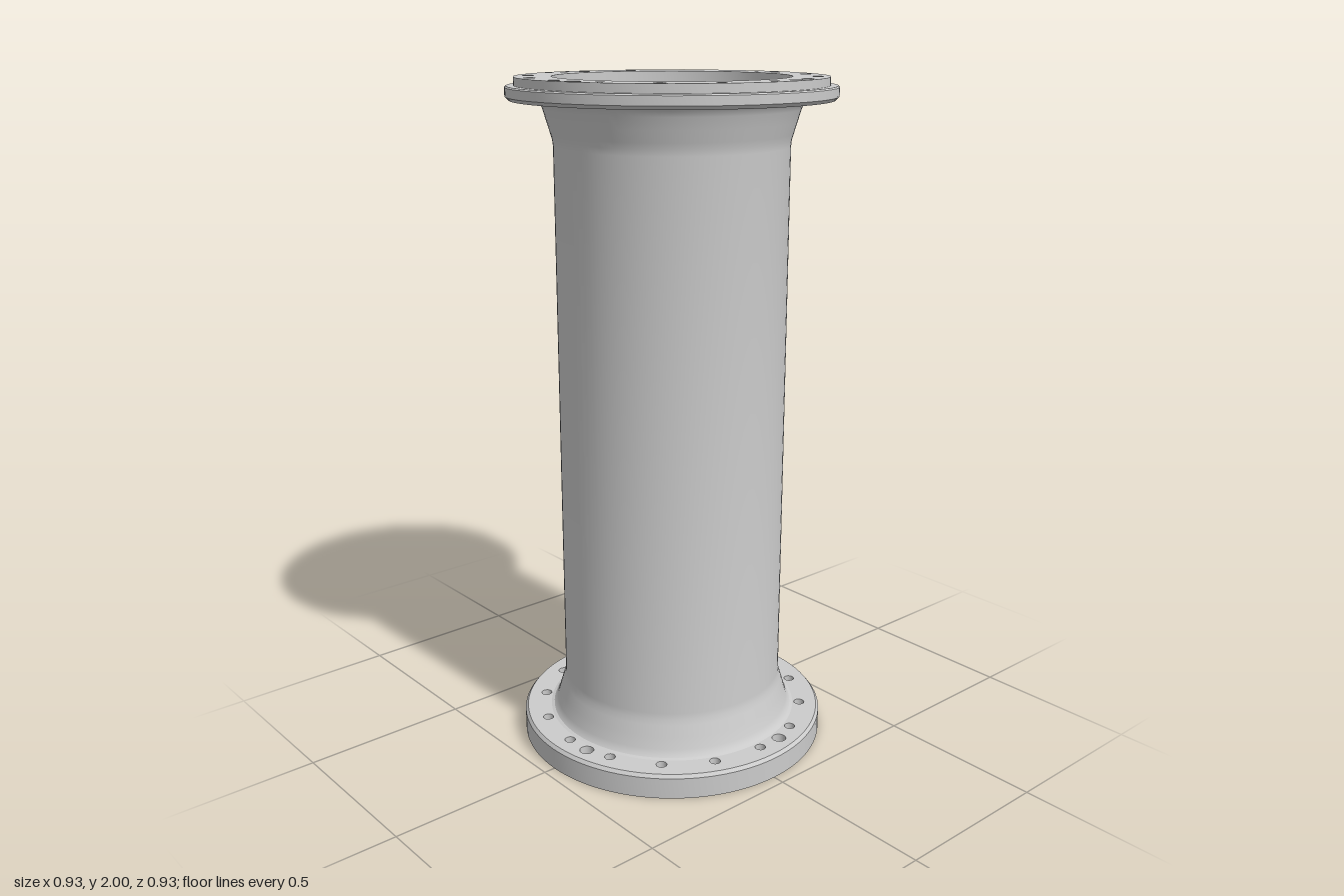
import * as THREE from 'three';
import { toCreasedNormals } from 'three/addons/utils/BufferGeometryUtils.js';

const SEG = 96;
const TOP = 2, LEDGE_TOP = 1.957, LEDGE_BOTTOM = 0.05;
const UNDER = 1.937, LOWER = 0.074;   // inward-facing flange faces
const BORE = 0.3, RECESS = 0.335, NECK = 0.383, RIM = 0.465;

const material = new THREE.MeshStandardMaterial({ color: 0xcccccc, side: THREE.DoubleSide });

function add(group, name, geometry) {
  const mesh = new THREE.Mesh(geometry, material);
  mesh.name = name;
  group.add(mesh);
  return mesh;
}

// Revolved surface with crisp edges where the profile turns sharply
function revolve(profile) {
  const points = profile.map(([r, y]) => new THREE.Vector2(r, y));
  return toCreasedNormals(new THREE.LatheGeometry(points, SEG), 0.5);
}

function circle(x, y, r, n) {
  return Array.from({ length: n }, (_, i) => {
    const a = (i / n) * Math.PI * 2;
    return new THREE.Vector2(x + r * Math.cos(a), y + r * Math.sin(a));
  });
}

// Flat ring at height y, pierced by holes, facing up or down
function ringFace(y, inner, outer, holes, up) {
  const shape = new THREE.Shape(circle(0, 0, outer, SEG));
  shape.holes.push(new THREE.Path(circle(0, 0, inner, SEG)));
  for (const h of holes) {
    shape.holes.push(new THREE.Path(circle(h.x, up ? -h.z : h.z, h.r, 24)));
  }
  return new THREE.ShapeGeometry(shape)
    .rotateX(up ? -Math.PI / 2 : Math.PI / 2)
    .translate(0, y, 0);
}

// Evenly spaced holes on a pitch circle
function holeCircle(count, radius, r, start = 0) {
  return Array.from({ length: count }, (_, i) => {
    const a = start + (i / count) * Math.PI * 2;
    return { x: radius * Math.cos(a), z: radius * Math.sin(a), r };
  });
}

function holeWalls(group, name, holes, y0, y1) {
  const walls = new THREE.Group();
  walls.name = name;
  for (const h of holes) {
    const wall = new THREE.CylinderGeometry(h.r, h.r, y1 - y0, 24, 1, true);
    wall.scale(-1, 1, 1); // turn the wall to face the hole's axis
    add(walls, 'holeWall', wall.translate(h.x, (y0 + y1) / 2, h.z));
  }
  group.add(walls);
}

export function createModel() {
  const model = new THREE.Group();
  model.name = 'flangedPipe';

  // Sixteen bolt holes and four larger dowel holes per flange
  const bolts = [
    ...holeCircle(16, 0.404, 0.016),
    ...holeCircle(4, 0.41, 0.021, Math.atan2(-0.08, 0.402)),
  ];
  const pins = holeCircle(4, 0.318, 0.008);

  // Outer tube, flared into a filleted neck at each end
  const neck = [
    [NECK, LOWER], [0.374, 0.077], [0.368, 0.084], [0.362, 0.098],
    [0.352, 0.132], [0.342, 0.165], [0.337, 0.182], [0.335, 0.2],
  ];
  const upperNeck = neck.map(([r, y]) => [r, UNDER + LOWER - y]).reverse();
  add(model, 'tube', revolve([...neck, ...upperNeck]));

  // Bore with a counterbored recess wall at each end
  add(model, 'bore', revolve([[BORE, LEDGE_TOP], [BORE, LEDGE_BOTTOM]]));
  add(model, 'topRecess', revolve([[RECESS, TOP], [RECESS, LEDGE_TOP]]));
  add(model, 'bottomRecess', revolve([[RECESS, LEDGE_BOTTOM], [RECESS, 0]]));
  add(model, 'topLedge', ringFace(LEDGE_TOP, BORE, RECESS, pins, true));
  add(model, 'bottomLedge', ringFace(LEDGE_BOTTOM, BORE, RECESS, [], false));

  // Bottom flange with a chamfered upper edge
  add(model, 'bottomFlangeRim', revolve([[RIM, 0], [RIM, 0.064], [0.457, LOWER]]));
  add(model, 'bottomFlangeUpperFace', ringFace(LOWER, NECK, 0.457, bolts, true));
  add(model, 'bottomFlangeBase', ringFace(0, RECESS, RIM, bolts, false));
  holeWalls(model, 'bottomBoltHoles', bolts, 0, LOWER);

  // Top flange with a chamfered rim and raised face
  add(model, 'topFlangeRim', revolve([
    [0.455, UNDER], [RIM, 0.01 + UNDER], [RIM, 1.972], [0.461, 1.976],
    [0.44, 1.976], [0.44, TOP],
  ]));
  add(model, 'topFlangeUnderside', ringFace(UNDER, NECK, 0.455, bolts, false));
  add(model, 'raisedFace', ringFace(TOP, RECESS, 0.44, bolts, true));
  holeWalls(model, 'topBoltHoles', bolts, UNDER, TOP);

  // Blind pin holes in the upper ledge
  const pinDepth = 0.03;
  holeWalls(model, 'pinHoles', pins, LEDGE_TOP - pinDepth, LEDGE_TOP);
  for (const p of pins) {
    const floor = new THREE.CircleGeometry(p.r, 24).rotateX(-Math.PI / 2);
    add(model, 'pinHoleFloor', floor.translate(p.x, LEDGE_TOP - pinDepth, p.z));
  }

  return model;
}
